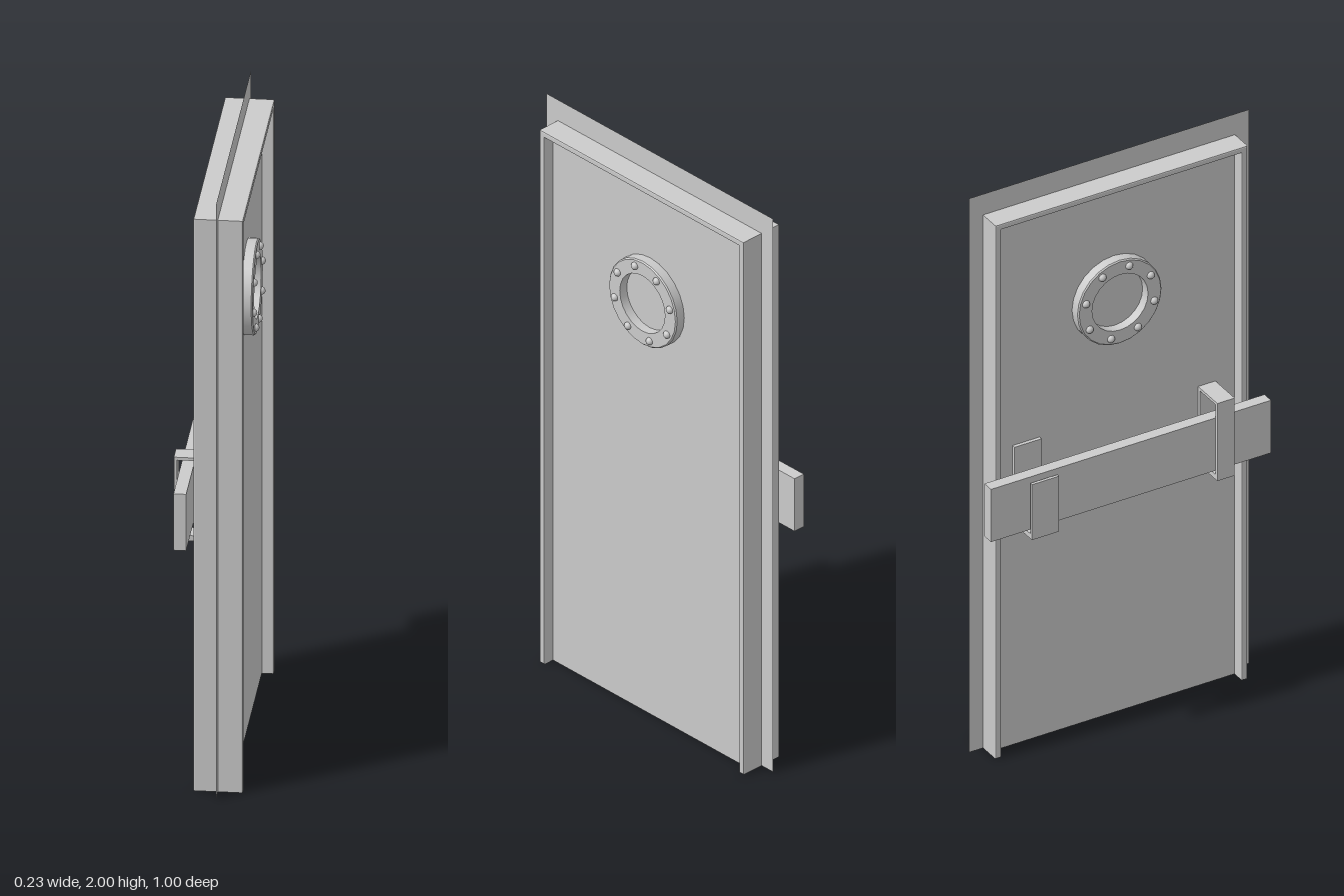
import * as THREE from 'three';

const grey = new THREE.MeshStandardMaterial({ color: 0xcccccc });
const greyThin = new THREE.MeshStandardMaterial({ color: 0xcccccc, side: THREE.DoubleSide });

// The door lies in the YZ plane; x is its thickness.
const PANEL_BACK = 0, PANEL_FRONT = 0.07, WINDOW_Y = 1.5;

function add(parent, name, geometry, material = grey) {
  const mesh = new THREE.Mesh(geometry, material);
  mesh.name = name;
  parent.add(mesh);
  return mesh;
}

// Box given by its limits on each axis
function box(parent, name, [x0, x1], [y0, y1], [z0, z1]) {
  const mesh = add(parent, name, new THREE.BoxGeometry(x1 - x0, y1 - y0, z1 - z0));
  mesh.position.set((x0 + x1) / 2, (y0 + y1) / 2, (z0 + z1) / 2);
  return mesh;
}

// Upside-down U outline, open at the floor
function archShape(outerZ, outerY, innerZ, innerY) {
  return new THREE.Shape([
    [-outerZ, 0], [-innerZ, 0], [-innerZ, innerY], [innerZ, innerY],
    [innerZ, 0], [outerZ, 0], [outerZ, outerY], [-outerZ, outerY],
  ].map(([z, y]) => new THREE.Vector2(z, y)));
}

// Round window ring with eight bolts; side is +1 or -1 along x
function porthole(side, baseX, height) {
  const group = new THREE.Group();
  group.name = side > 0 ? 'frontPorthole' : 'backPorthole';
  const profile = [[0.1, 0], [0.1, height], [0.146, height], [0.15, height - 0.004], [0.15, 0]];
  // Repeated corner points keep the ring edges sharp
  const points = profile.flatMap(([r, h]) => [new THREE.Vector2(r, h), new THREE.Vector2(r, h)]).reverse();
  add(group, 'windowRing', new THREE.LatheGeometry(points, 24));
  const glass = add(group, 'windowPane', new THREE.CylinderGeometry(0.1, 0.1, 0.004, 24));
  glass.position.y = 0.002;
  const boltShape = new THREE.SphereGeometry(0.013, 12, 6, 0, Math.PI * 2, 0, Math.PI / 2);
  for (let i = 0; i < 8; i++) {
    const a = (i / 8) * Math.PI * 2 + 1.31;
    const bolt = add(group, 'windowBolt', boltShape);
    bolt.position.set(-side * 0.126 * Math.sin(a), height - 0.001, 0.126 * Math.cos(a));
  }
  group.rotation.z = -side * Math.PI / 2;
  group.position.set(baseX, WINDOW_Y, 0);
  return group;
}

// Bent-plate bracket holding the bar
function bracket(name, z, frontTop, closed) {
  const group = new THREE.Group();
  group.name = name;
  box(group, 'bracketBackPlate', [-0.012, PANEL_BACK + 0.002], [0.8, 1.08], z);
  box(group, 'bracketFrontPlate', [-0.115, -0.105], [0.8, frontTop], z);
  box(group, 'bracketBase', [-0.106, -0.011], [0.8, 0.818], z);
  if (closed) box(group, 'bracketTop', [-0.106, -0.011], [1.07, 1.08], z);
  return group;
}

export function createModel() {
  const model = new THREE.Group();
  model.name = 'door';

  // Door leaf
  box(model, 'doorPanel', [PANEL_BACK, PANEL_FRONT], [0, 1.906], [-0.431, 0.431]);

  // Surround with softened edges
  const bevel = 0.004, depth = 0.153;
  const frame = new THREE.ExtrudeGeometry(archShape(0.45, 1.925, 0.43, 1.905), {
    depth: depth - 2 * bevel, bevelSize: bevel, bevelThickness: bevel,
    bevelOffset: -bevel, bevelSegments: 2,
  });
  frame.center().rotateY(-Math.PI / 2);
  add(model, 'doorFrame', frame).position.set(0.031, 1.925 / 2, 0);

  // Thin wall flange around the surround
  const flange = new THREE.ShapeGeometry(archShape(0.5, 2, 0.44, 1.915));
  flange.rotateY(-Math.PI / 2);
  add(model, 'wallFlange', flange, greyThin).position.x = 0.03;

  // Windows on both faces
  model.add(porthole(1, PANEL_FRONT, 0.034));
  model.add(porthole(-1, PANEL_BACK, 0.036));

  // Locking bar and its brackets
  box(model, 'lockingBar', [-0.101, -0.062], [0.83, 1.02], [-0.5, 0.5]);
  model.add(bracket('openBracket', [-0.362, -0.266], 1.0, false));
  model.add(bracket('closedBracket', [0.3, 0.362], 1.08, true));

  return model;
}
